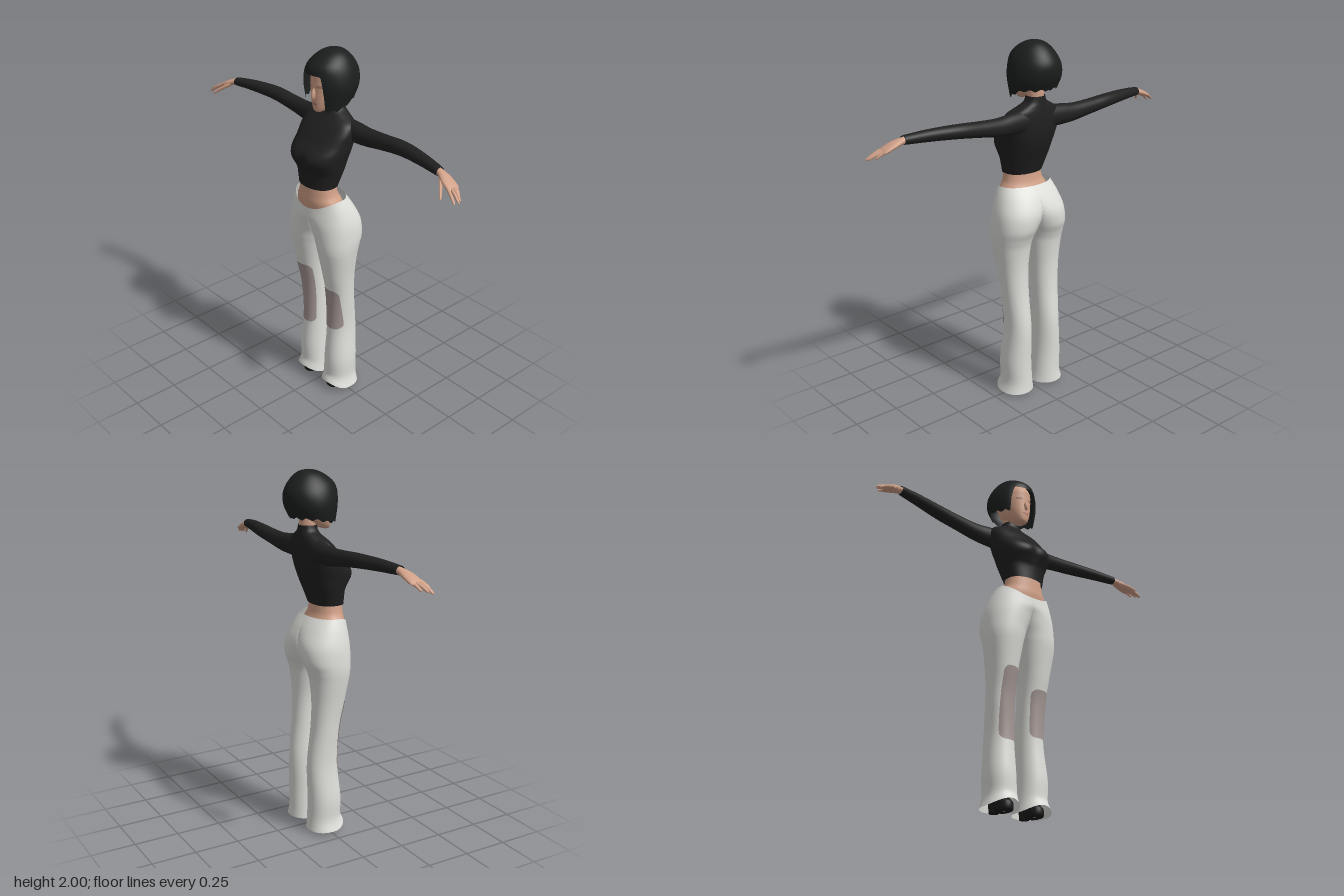
import * as THREE from 'three';

const paint = (name, color, side = THREE.FrontSide) => {
  const m = new THREE.MeshStandardMaterial({ color, side });
  m.name = name;
  return m;
};
const smooth = THREE.MathUtils.smoothstep;
const mix = THREE.MathUtils.lerp;

// Catmull-Rom resampling of a list of section rows
function sample(rows, n = 48) {
  const out = [];
  for (let k = 0; k <= n; k++) {
    const f = (k / n) * (rows.length - 1);
    const i = Math.min(Math.floor(f), rows.length - 2), t = f - i;
    const at = (j) => rows[THREE.MathUtils.clamp(j, 0, rows.length - 1)];
    out.push(rows[i].map((b, c) => {
      const a = at(i - 1)[c], d = at(i + 1)[c], e = at(i + 2)[c];
      return b + 0.5 * t * (d - a + t * (2 * a - 5 * b + 4 * d - e + t * (3 * (b - d) + e - a)));
    }));
  }
  return out;
}

// Linear lookup of a sampled section list by height
function lookup(rows, y) {
  const sorted = rows[0][0] < rows[rows.length - 1][0] ? rows : [...rows].reverse();
  let i = 0;
  while (i < sorted.length - 2 && sorted[i + 1][0] < y) i++;
  const a = sorted[i], b = sorted[i + 1];
  const t = THREE.MathUtils.clamp((y - a[0]) / (b[0] - a[0] || 1), 0, 1);
  return a.map((v, c) => mix(v, b[c], t));
}

// Surface through rings of [x, y, z] points; wraps around unless told otherwise
function skin(rings, wrap = true) {
  const n = rings[0].length, pos = rings.flat(2), idx = [];
  const onSeam = (...v) => v.every((k) => pos[k * 3] === 0);
  for (let i = 0; i < rings.length - 1; i++) {
    for (let j = 0; j < (wrap ? n : n - 1); j++) {
      const a = i * n + j, b = i * n + ((j + 1) % n), c = a + n, d = b + n;
      if (!onSeam(a, c, b)) idx.push(a, c, b);
      if (!onSeam(b, c, d)) idx.push(b, c, d);
    }
  }
  const g = new THREE.BufferGeometry();
  g.setAttribute('position', new THREE.Float32BufferAttribute(pos, 3));
  g.setIndex(idx);
  g.computeVertexNormals();
  return g;
}

// Upright loft from rows [y, centreX, halfWidth, frontZ, backZ]
function upright(rows, power = 1, bend = (p) => p, n = 48) {
  return skin(rows.map(([y, cx, hw, zf, zb]) => Array.from({ length: n }, (_, j) => {
    const a = (j / n) * Math.PI * 2, s = Math.sin(a);
    const z = (zf + zb) / 2 + ((zf - zb) / 2) * Math.sign(s) * Math.abs(s) ** power;
    return bend([cx + hw * Math.cos(a), y, z], s);
  })));
}

// Sideways loft from rows [x, y, z, radiusY, radiusZ]
const sideways = (rows, n = 24) => skin(rows.map(([x, y, z, ry, rz]) =>
  Array.from({ length: n }, (_, j) => {
    const a = (j / n) * Math.PI * 2;
    return [x, y + ry * Math.cos(a), z - rz * Math.sin(a)];
  })));

// Thin rounded patch lying on the front of an upright loft
function patch(rows, power, x0, x1, y0, y1, corner, lift = 0.004) {
  const rings = [];
  for (let i = 0; i <= 28; i++) {
    const y = mix(y0, y1, (1 - Math.cos((i / 28) * Math.PI)) / 2);
    const d = Math.max(0, corner - Math.min(y - y0, y1 - y));
    const inset = corner - Math.sqrt(Math.max(0, corner * corner - d * d));
    const [, cx, hw, zf, zb] = lookup(rows, y);
    rings.push(Array.from({ length: 17 }, (_, j) => {
      const x = mix(x1 - inset, x0 + inset, j / 16);
      const c = THREE.MathUtils.clamp((x - cx) / hw, -0.98, 0.98);
      return [x, y, (zf + zb) / 2 + ((zf - zb) / 2) * Math.sqrt(1 - c * c) ** power + lift];
    }));
  }
  return skin(rings, false);
}

function mirror(geometry) {
  const g = geometry.clone().scale(-1, 1, 1), k = g.index.array;
  for (let i = 0; i < k.length; i += 3) [k[i], k[i + 1]] = [k[i + 1], k[i]];
  g.computeVertexNormals();
  return g;
}

export function createModel() {
  const model = new THREE.Group();
  const skinTone = paint('skin', 0xcf9f86);
  const black = paint('black knit', 0x202020, THREE.DoubleSide);
  const hairTone = paint('black hair', 0x1c1e1e, THREE.DoubleSide);
  const white = paint('white cloth', 0xdededa, THREE.DoubleSide);
  const patchTone = paint('worn patch', 0xa49794, THREE.DoubleSide);
  const shoeTone = paint('shoe black', 0x1a1a1a);
  const eyeTone = paint('eye shade', 0xa87f6c);
  const lipTone = paint('lips', 0xb27e6e);
  const add = (name, geometry, material) => {
    const m = new THREE.Mesh(geometry, material);
    m.name = name;
    model.add(m);
  };
  const pair = (name, geometry, material) => {
    add('left' + name, geometry, material);
    add('right' + name, mirror(geometry), material);
  };

  // Trousers: each half is one leg that meets the other along the middle seam
  const leg = sample([
    [0.015, 0.106, 0.096, 0.1, -0.11], [0.08, 0.102, 0.083, 0.085, -0.105],
    [0.2, 0.106, 0.08, 0.084, -0.104], [0.4, 0.1, 0.069, 0.066, -0.107],
    [0.6, 0.105, 0.072, 0.072, -0.086], [0.75, 0.109, 0.081, 0.1, -0.08],
    [0.88, 0.109, 0.099, 0.125, -0.09], [0.94, 0.106, 0.109, 0.135, -0.105],
    [1.0, 0.095, 0.121, 0.14, -0.127], [1.08, 0.065, 0.143, 0.146, -0.13],
    [1.16, 0.025, 0.16, 0.15, -0.1], [1.225, 0, 0.158, 0.147, -0.06],
  ], 80);
  pair('TrouserLeg', upright(leg, 0.85, ([x, y, z], s) => {
    const front = Math.max(0, s) ** 2;
    const lift = 0.035 * front * (1 - smooth(y, 0.01, 0.12)) - 0.058 * front * smooth(y, 1.05, 1.22);
    return [Math.max(0, x), y + lift, z];
  }, 64), white);
  add('leftKneePatch', patch(leg, 0.85, 0.052, 0.165, 0.41, 0.675, 0.03), patchTone);
  add('rightKneePatch', mirror(patch(leg, 0.85, 0.045, 0.152, 0.36, 0.755, 0.03)), patchTone);

  // Shoes with block heels, mostly hidden by the hems
  pair('Shoe', upright(sample([
    [0, 0.1, 0.005, 0.03, 0.02], [0, 0.1, 0.038, 0.074, -0.03], [0.04, 0.1, 0.04, 0.076, -0.05],
    [0.07, 0.1, 0.038, 0.05, -0.07], [0.15, 0.1, 0.036, 0.03, -0.07], [0.15, 0.1, 0.002, 0, -0.01],
  ], 30), 0.7), shoeTone);
  pair('Heel', new THREE.CylinderGeometry(0.032, 0.026, 0.08, 20).translate(0.1, 0.042, -0.055), shoeTone);

  // Bare waist
  add('waist', upright(sample([
    [1.1, 0, 0.15, 0.13, -0.06], [1.19, 0, 0.142, 0.141, -0.045],
    [1.24, 0, 0.117, 0.139, -0.025], [1.3, 0, 0.106, 0.135, -0.015],
  ], 20), 0.85), skinTone);

  // Cropped high-neck top, with a slight hollow between the bust
  add('top', upright(sample([
    [1.285, 0, 0.113, 0.145, -0.027], [1.36, 0, 0.133, 0.148, -0.055],
    [1.395, 0, 0.143, 0.163, -0.07], [1.44, 0, 0.153, 0.187, -0.088],
    [1.48, 0, 0.162, 0.177, -0.1], [1.53, 0, 0.168, 0.13, -0.108],
    [1.585, 0, 0.172, 0.085, -0.11], [1.63, 0, 0.155, 0.045, -0.108],
    [1.66, 0, 0.105, 0.015, -0.105], [1.685, 0, 0.062, 0, -0.102], [1.715, 0, 0.049, -0.003, -0.099],
  ], 60), 0.8, ([x, y, z], s) => {
    const bust = Math.max(0, s) * Math.exp(-(((y - 1.44) / 0.05) ** 2));
    return [x, y, z - 0.016 * bust * Math.exp(-((x / 0.035) ** 2))];
  }, 64), black);
  pair('Sleeve', sideways(sample([
    [0.08, 1.59, -0.055, 0.062, 0.048], [0.17, 1.588, -0.06, 0.056, 0.045],
    [0.25, 1.587, -0.063, 0.049, 0.042], [0.36, 1.597, -0.064, 0.042, 0.04],
    [0.5, 1.61, -0.06, 0.037, 0.04], [0.65, 1.613, -0.036, 0.031, 0.033],
    [0.77, 1.609, -0.013, 0.024, 0.027], [0.785, 1.608, -0.01, 0.021, 0.024],
  ], 40), 32), black);

  // Hands: palm, four fingers and a thumb
  pair('Palm', sideways(sample([
    [0.75, 1.61, -0.014, 0.018, 0.02], [0.79, 1.605, -0.009, 0.018, 0.022],
    [0.835, 1.59, 0.001, 0.018, 0.034], [0.875, 1.573, 0.007, 0.014, 0.036],
    [0.895, 1.563, 0.01, 0.009, 0.031], [0.9, 1.56, 0.01, 0.001, 0.003],
  ], 24)), skinTone);
  const digit = (a, b, r) => sideways([0, 0.3, 0.65, 0.88, 0.97, 1].map((t, i) => {
    const radius = r * [1, 1, 0.9, 0.75, 0.45, 0.02][i];
    return [mix(a[0], b[0], t), mix(a[1], b[1], t) + 0.006 * Math.sin(t * Math.PI), mix(a[2], b[2], t), radius, radius];
  }), 12);
  [[0.93, 1.537, 0.008], [0.955, 1.533, 0.03], [0.964, 1.528, 0.047], [0.95, 1.522, 0.062]]
    .forEach((tip, i) => pair('Finger' + (i + 1), digit([0.865, 1.575, -0.02 + i * 0.017], tip, 0.0095), skinTone));
  pair('Thumb', digit([0.81, 1.59, 0.012], [0.886, 1.532, 0.088], 0.012), skinTone);

  // Neck, head and face
  add('neck', new THREE.CylinderGeometry(0.046, 0.045, 0.13, 32).translate(0, 1.735, -0.05), skinTone);
  const head = sample([
    [1.684, 0, 0.002, 0.058, 0.052], [1.69, 0, 0.024, 0.076, 0.03], [1.71, 0, 0.045, 0.083, -0.03],
    [1.75, 0, 0.067, 0.086, -0.09], [1.8, 0, 0.08, 0.086, -0.125], [1.85, 0, 0.086, 0.085, -0.135],
    [1.9, 0, 0.083, 0.08, -0.13], [1.95, 0, 0.055, 0.04, -0.1], [1.965, 0, 0.002, -0.03, -0.034],
  ], 48);
  add('head', upright(head, 0.9), skinTone);
  add('nose', new THREE.SphereGeometry(1, 20, 14).scale(0.011, 0.032, 0.017).rotateX(-0.25).translate(0, 1.787, 0.085), skinTone);
  pair('Eye', patch(head, 0.9, 0.018, 0.056, 1.82, 1.836, 0.008, 0.002), eyeTone);
  add('mouth', patch(head, 0.9, -0.02, 0.02, 1.726, 1.74, 0.007, 0.002), lipTone);

  // Bob haircut: a shell whose lower edge lifts over the face and hangs lower on one side
  const hair = sample([
    [2, 0, 0.001, -0.044, -0.046], [1.992, 0, 0.042, 0, -0.09], [1.97, 0, 0.078, 0.045, -0.125],
    [1.93, 0, 0.111, 0.092, -0.16], [1.88, 0, 0.133, 0.107, -0.182], [1.82, 0, 0.142, 0.106, -0.178],
    [1.76, 0, 0.132, 0.098, -0.15], [1.69, 0, 0.113, 0.088, -0.115],
  ], 80);
  const hem = (th) => {
    const a = Math.abs(th), edge = th > 0 ? 0.58 : 0.7;
    const low = mix(th > 0 ? 1.705 : 1.735, 1.757, smooth(a, 1, 2.2));
    return mix(1.888, low + 0.006 * Math.sin(a * 14), smooth(a, edge - 0.12, edge + 0.1));
  };
  const locks = [];
  for (let i = 0; i <= 32; i++) {
    locks.push(Array.from({ length: 128 }, (_, j) => {
      const th = Math.PI - (j / 128) * Math.PI * 2;
      const y = 2 - (2 - hem(th)) * (1 - Math.sin((i / 32) * Math.PI / 2));
      const [, , hw, zf, zb] = lookup(hair, y);
      return [hw * Math.sin(th) - 0.006 * smooth(2 - y, 0, 0.15), y, (zf + zb) / 2 + ((zf - zb) / 2) * Math.cos(th)];
    }));
  }
  add('hair', skin(locks), hairTone);
  return model;
}
